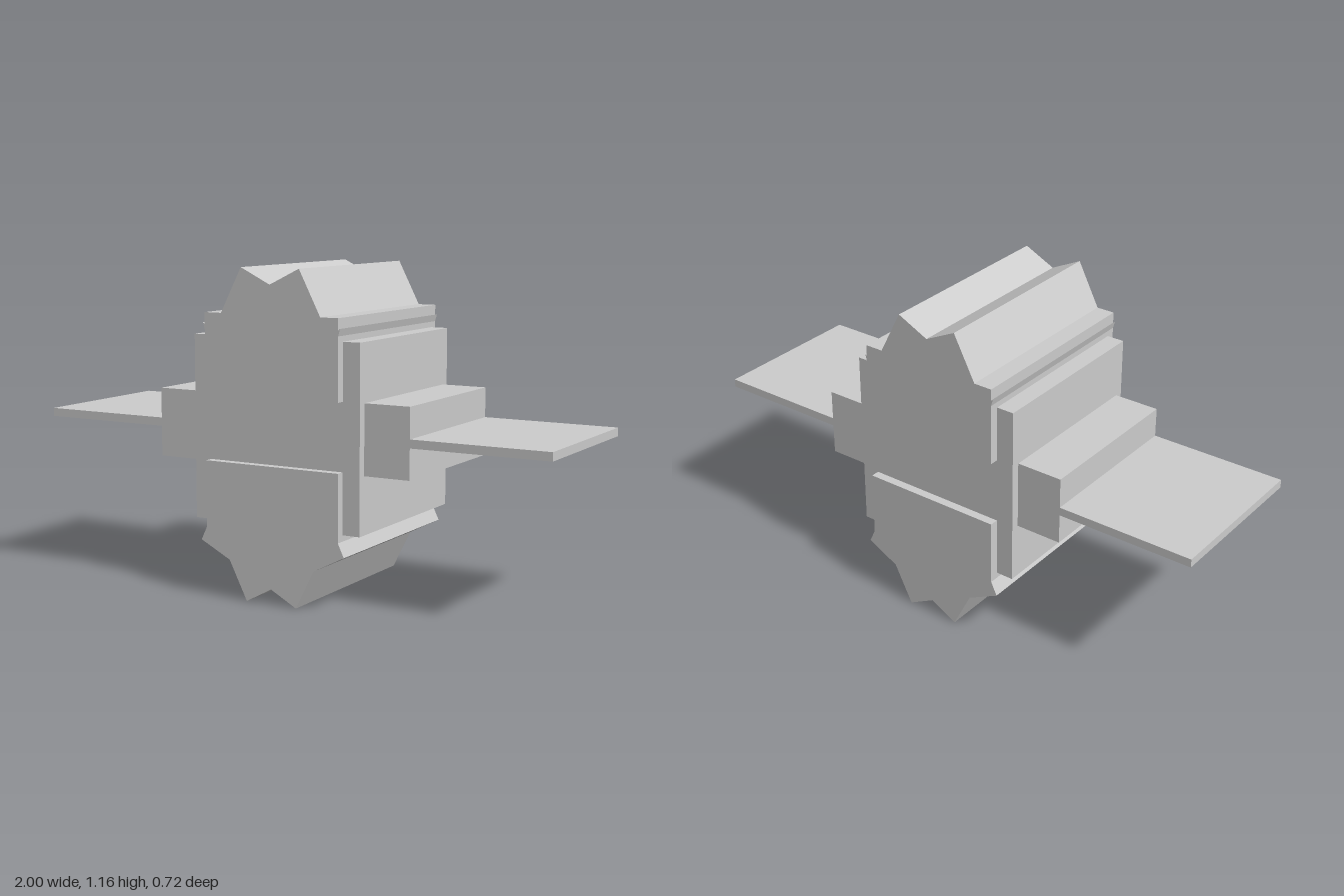
import * as THREE from 'three';

const material = new THREE.MeshStandardMaterial({ color: 0xcccccc, flatShading: true });

function add(group, name, geometry) {
  const mesh = new THREE.Mesh(geometry, material);
  mesh.name = name;
  group.add(mesh);
}

// Box given by its half width, height range and half depth
function block(halfX, y0, y1, halfZ) {
  return new THREE.BoxGeometry(halfX * 2, y1 - y0, halfZ * 2).translate(0, (y0 + y1) / 2, 0);
}

// Extrudes a half outline (bottom to top, x >= 0) mirrored about x = 0
function mirroredPrism(half, halfZ) {
  const left = half.filter(([x]) => x > 0).reverse().map(([x, y]) => [-x, y]);
  const shape = new THREE.Shape([...half, ...left].map(([x, y]) => new THREE.Vector2(x, y)));
  return new THREE.ExtrudeGeometry(shape, { depth: halfZ * 2, bevelEnabled: false })
    .translate(0, 0, -halfZ);
}

export function createModel() {
  const model = new THREE.Group();
  model.name = 'model';

  // Stepped core and the thin wing running through it
  add(model, 'body', block(0.33, 0.272, 0.925, 0.328));
  add(model, 'wingMount', block(0.5, 0.475, 0.721, 0.297));
  add(model, 'wing', block(1, 0.583, 0.613, 0.297));

  // Jagged caps, slightly deeper than the body
  add(model, 'upperCap', mirroredPrism([
    [0, 0.725], [0.265, 0.725], [0.265, 0.945], [0.272, 0.97], [0.265, 0.965],
    [0.265, 1.005], [0.197, 1.005], [0.115, 1.163], [0, 1.107],
  ], 0.36));
  add(model, 'lowerCap', mirroredPrism([
    [0, 0.057], [0.1, 0.003], [0.17, 0.142], [0.288, 0.202],
    [0.265, 0.25], [0.265, 0.487], [0, 0.487],
  ], 0.36));

  return model;
}
